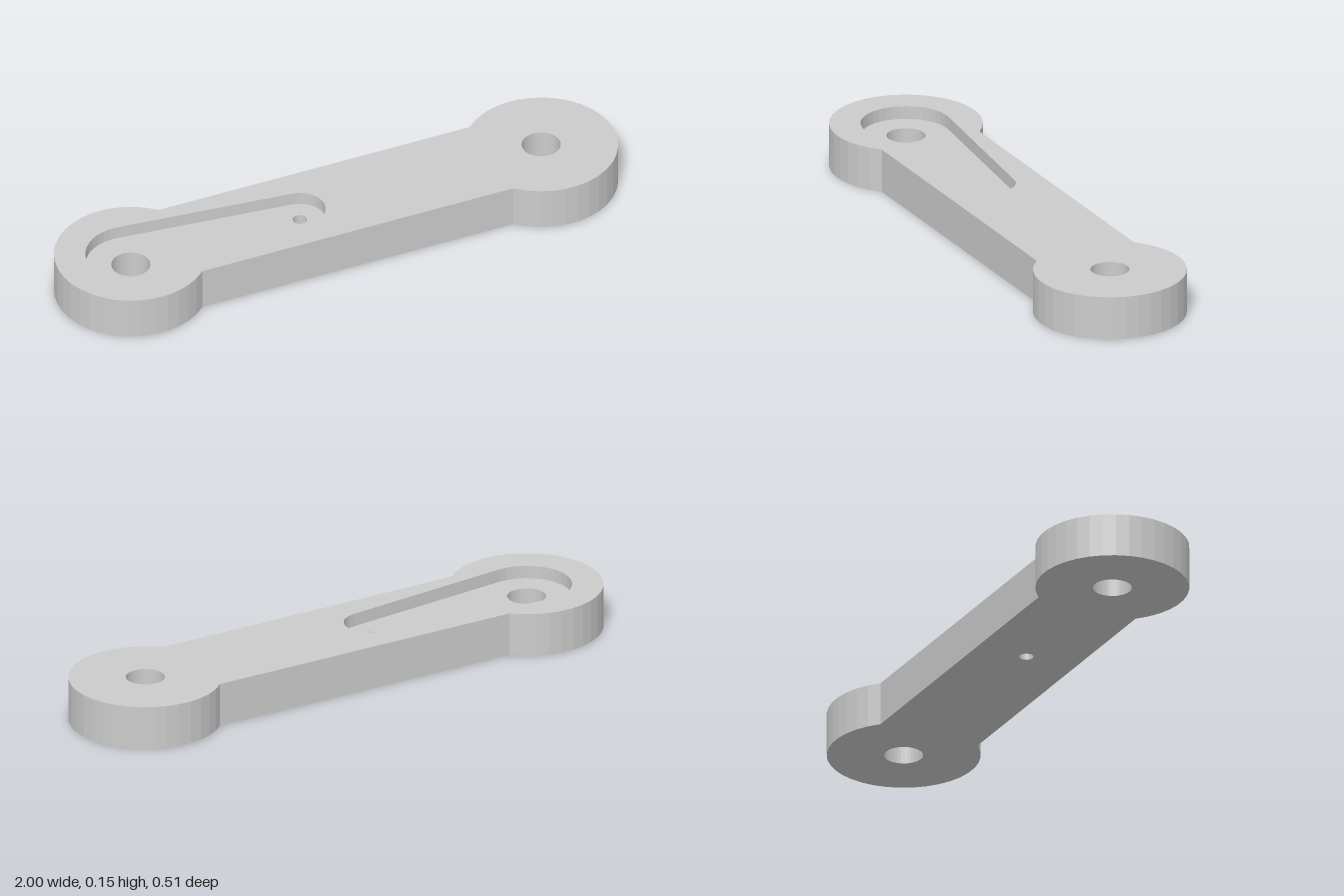
import * as THREE from 'three';

const HEIGHT = 0.15, FLOOR = 0.105;      // link thickness, pocket floor level
const END_X = 0.744, END_R = 0.256, BAR = 0.182, BORE_R = 0.065;
const PIN_X = -0.131, PIN_R = 0.024;
const POCKET_R = 0.151, TIP_R = 0.086;

// Points along an arc, both ends included
function arc(cx, r, from, to, steps) {
  return Array.from({ length: steps + 1 }, (_, i) => {
    const a = from + (to - from) * i / steps;
    return new THREE.Vector2(cx + r * Math.cos(a), r * Math.sin(a));
  });
}
const circle = (cx, r) => arc(cx, r, 0, Math.PI * 2, 36).slice(0, -1);

// Flat horizontal face with holes, facing up or down
function cap(outline, holes, y, up) {
  const shape = new THREE.Shape(outline);
  holes.forEach(h => shape.holes.push(new THREE.Path(h)));
  const g = new THREE.ShapeGeometry(shape);
  g.rotateX(up ? -Math.PI / 2 : Math.PI / 2);
  return g.translate(0, y, 0);
}

// Upright wall along a closed outline; inward turns it to face the inside
function wall(outline, y0, y1, inward) {
  const pts = inward ? [...outline].reverse() : outline;
  const pos = [];
  pts.forEach((a, i) => {
    const b = pts[(i + 1) % pts.length];
    const a0 = [a.x, y0, -a.y], b0 = [b.x, y0, -b.y];
    const a1 = [a.x, y1, -a.y], b1 = [b.x, y1, -b.y];
    pos.push(...a0, ...b0, ...b1, ...a0, ...b1, ...a1);
  });
  const g = new THREE.BufferGeometry();
  g.setAttribute('position', new THREE.Float32BufferAttribute(pos, 3));
  g.computeVertexNormals();
  return g;
}

export function createModel() {
  const group = new THREE.Group();
  const material = new THREE.MeshStandardMaterial({ color: 0xcccccc, flatShading: true });
  const add = (name, geometry) => {
    const mesh = new THREE.Mesh(geometry, material);
    mesh.name = name;
    group.add(mesh);
  };

  // Outline: two round ends joined by a straight bar
  const joint = Math.asin(BAR / END_R);
  const outline = [
    ...arc(END_X, END_R, -Math.PI + joint, Math.PI - joint, 27),
    ...arc(-END_X, END_R, joint, Math.PI * 2 - joint, 27),
  ];

  // Teardrop pocket: two circles joined by their common tangents
  const tangent = Math.acos((POCKET_R - TIP_R) / (PIN_X + END_X));
  const pocket = [
    ...arc(PIN_X, TIP_R, -tangent, tangent, 18),
    ...arc(-END_X, POCKET_R, tangent, Math.PI * 2 - tangent, 20),
  ];

  const leftBore = circle(END_X, BORE_R);
  const rightBore = circle(-END_X, BORE_R);
  const pinHole = circle(PIN_X, PIN_R);

  // Link body
  add('outerWall', wall(outline, 0, HEIGHT, false));
  add('topFace', cap(outline, [leftBore, pocket], HEIGHT, true));
  add('bottomFace', cap(outline, [leftBore, rightBore, pinHole], 0, false));

  // Recessed pocket
  add('pocketWall', wall(pocket, FLOOR, HEIGHT, true));
  add('pocketFloor', cap(pocket, [rightBore, pinHole], FLOOR, true));

  // Through holes
  add('leftBore', wall(leftBore, 0, HEIGHT, true));
  add('rightBore', wall(rightBore, 0, FLOOR, true));
  add('pinHole', wall(pinHole, 0, FLOOR, true));

  return group;
}
